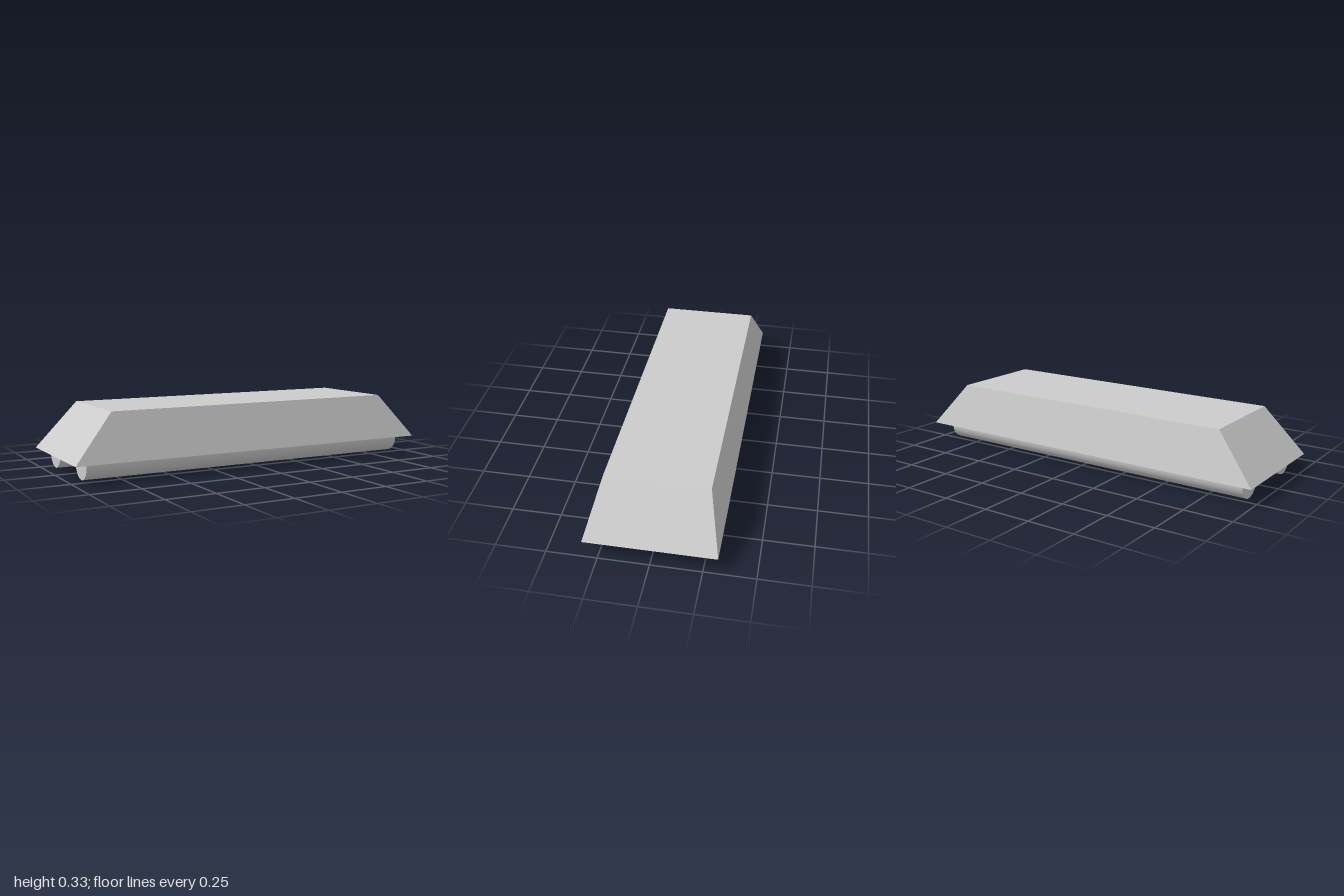
import * as THREE from 'three';

const BASE_Y = 0.093, TOP_Y = 0.331;

export function createModel() {
  const group = new THREE.Group();
  const flat = new THREE.MeshStandardMaterial({ color: 0xcccccc, flatShading: true });
  const smooth = new THREE.MeshStandardMaterial({ color: 0xcccccc });

  // Hull: a box whose top face is drawn in on all four sides
  const hullGeometry = new THREE.BoxGeometry(2, TOP_Y - BASE_Y, 0.64);
  const p = hullGeometry.attributes.position;
  for (let i = 0; i < p.count; i++) {
    if (p.getY(i) > 0) {
      p.setX(i, p.getX(i) * 0.796);
      p.setZ(i, p.getZ(i) * 0.8);
    }
  }
  hullGeometry.computeVertexNormals();
  const hull = new THREE.Mesh(hullGeometry, flat);
  hull.name = 'hull';
  hull.position.y = (BASE_Y + TOP_Y) / 2;
  group.add(hull);

  // Two round runners, half sunk into the underside
  const runnerGeometry = new THREE.CylinderGeometry(0.08, 0.08, 1.84, 48).rotateZ(Math.PI / 2);
  for (const [name, y, z] of [['frontRunner', 0.086, 0.205], ['backRunner', 0.08, -0.194]]) {
    const runner = new THREE.Mesh(runnerGeometry, smooth);
    runner.name = name;
    runner.position.set(-0.015, y, z);
    group.add(runner);
  }
  return group;
}
